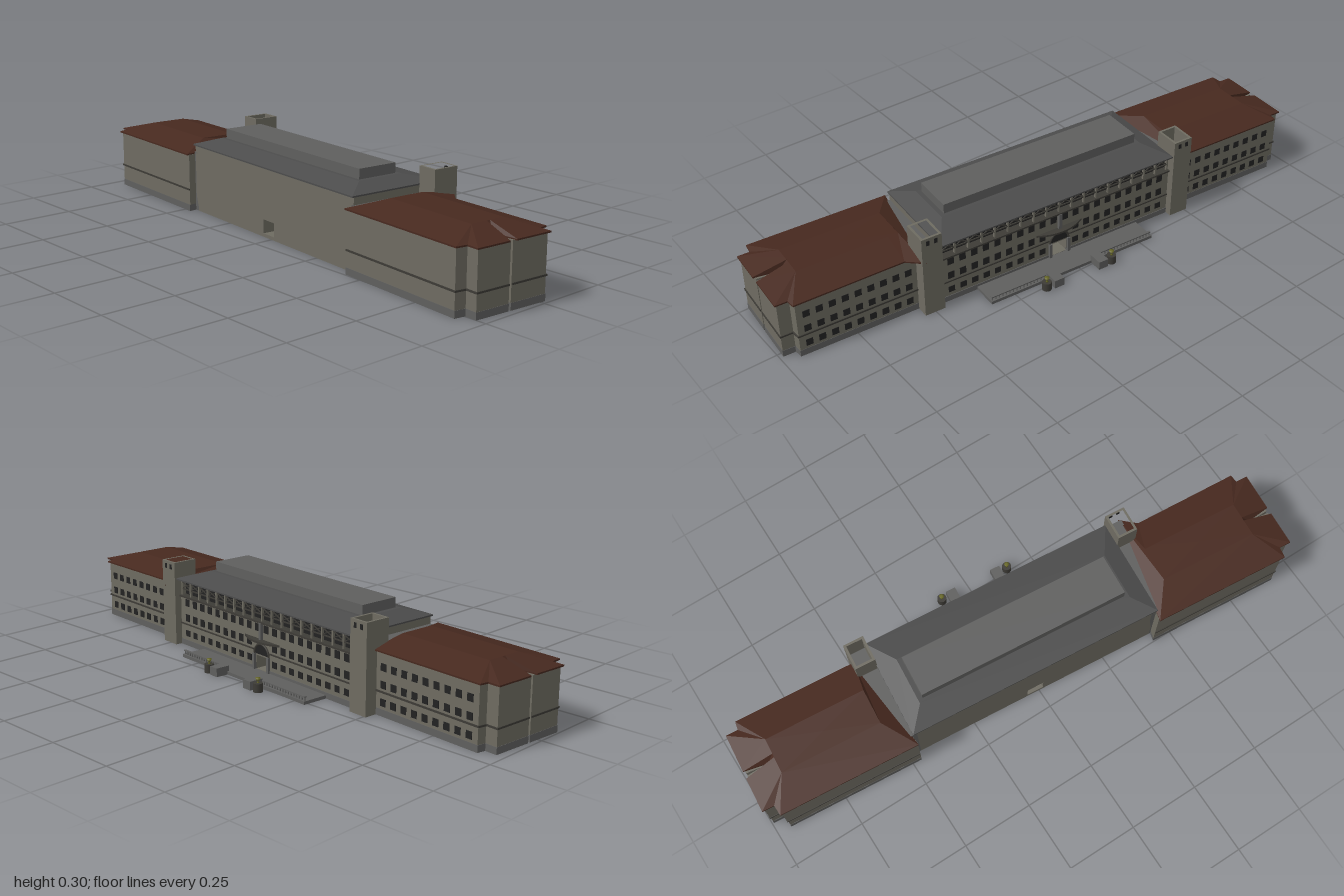
import * as THREE from 'three';

const mat = (color, extra = {}) => new THREE.MeshStandardMaterial({ color, ...extra });
const wall = mat(0x6e6b61);
const stone = mat(0x5f5f5e);
const slate = mat(0x4c4c4c, { flatShading: true, side: THREE.DoubleSide });
const tile = mat(0x47291f, { flatShading: true, side: THREE.DoubleSide });
const dark = mat(0x222222);
const trim = mat(0x3d3b36);
const olive = mat(0x6b6b2a);

export function createModel() {
  const model = new THREE.Group();
  model.name = 'building';
  model.rotation.y = -0.083; // the long axis stands slightly askew

  const add = (name, geometry, material, parent = model) => {
    const mesh = new THREE.Mesh(geometry, material);
    mesh.name = name;
    parent.add(mesh);
    return mesh;
  };
  // Box given by its min and max on each axis
  const box = (name, [x0, x1], [y0, y1], [z0, z1], material, parent) => {
    const mesh = add(name, new THREE.BoxGeometry(x1 - x0, y1 - y0, Math.abs(z1 - z0)), material, parent);
    mesh.position.set((x0 + x1) / 2, (y0 + y1) / 2, (z0 + z1) / 2);
    return mesh;
  };
  const group = (name) => {
    const g = new THREE.Group();
    g.name = name;
    model.add(g);
    return g;
  };
  // Upright prism over a ground plan of [x, z] points
  const prism = (name, plan, y0, y1, material, parent, hole) => {
    const toPath = (pts) => pts.map(([x, z]) => new THREE.Vector2(x, -z));
    const shape = new THREE.Shape(toPath(plan));
    if (hole) shape.holes.push(new THREE.Path(toPath(hole)));
    const geo = new THREE.ExtrudeGeometry(shape, { depth: y1 - y0, bevelEnabled: false });
    geo.rotateX(-Math.PI / 2).translate(0, y0, 0);
    return add(name, geo, material, parent);
  };
  const rect = (x0, x1, z0, z1) => [[x0, z0], [x1, z0], [x1, z1], [x0, z1]];
  // Hipped roof: every eave point rises to the nearest point of a flat top
  const hipRoof = (name, plan, y0, y1, [x0, x1], [z0, z1], material, parent) => {
    const clamp = THREE.MathUtils.clamp;
    const top = plan.map(([x, z]) => [clamp(x, x0, x1), y1, clamp(z, z0, z1)]);
    const low = plan.map(([x, z]) => [x, y0, z]);
    const mid = [(x0 + x1) / 2, y1, (z0 + z1) / 2];
    const v = [];
    plan.forEach((_, i) => {
      const j = (i + 1) % plan.length;
      v.push(...low[i], ...low[j], ...top[j], ...low[i], ...top[j], ...top[i]);
      v.push(...top[i], ...top[j], ...mid);
    });
    const geo = new THREE.BufferGeometry();
    geo.setAttribute('position', new THREE.Float32BufferAttribute(v, 3));
    geo.computeVertexNormals();
    return add(name, geo, material, parent);
  };
  const windowRows = [0.045, 0.102, 0.158];
  const pane = (x, y, z, w, h, parent) =>
    box('window', [x - 0.004, x + 0.0015], [y - h / 2, y + h / 2], [z - w / 2, z + w / 2], dark, parent);

  // End wings with stepped corners and a groove down the end wall
  for (const s of [1, -1]) {
    const wing = group(s > 0 ? 'frontWing' : 'backWing');
    const plan = (o, groove, inner) => [
      [-0.208 - o, 0.452], [-0.208 - o, 0.936 + o], [-0.17 - o, 0.94 + o], [-0.17 - o, 0.982 + o],
      [-0.042 - groove, 0.982 + o], [-0.042, 0.945 - groove * 3], [-0.042 + groove, 0.982 + o],
      [0.099 + o, 0.982 + o], [0.099 + o, 0.94 + o], [0.128 + o, 0.936 + o], ...inner,
    ].map(([x, z]) => [x, z * s]);
    const straight = (o) => [[0.128 + o, 0.515]];
    prism('plinth', plan(0.001, 0.004, straight(0.001)), 0, 0.023, stone, wing);
    prism('wingWalls', plan(0, 0.004, straight(0)), 0.023, 0.206, wall, wing);
    prism('stringCourse', plan(0.003, 0.005, straight(0.003)), 0.076, 0.082, trim, wing);
    const eave = plan(0.007, 0.013, s > 0 ? [[0.13, 0.566], [0.173, 0.512]] : straight(0.008));
    prism('eaves', eave, 0.205, 0.21, tile, wing);
    hipRoof('wingRoof', eave, 0.21, 0.24, [-0.1, 0.025], s > 0 ? [0.53, 0.88] : [-0.88, -0.53], tile, wing);
    for (const y of windowRows) {
      for (let i = 0; i < 9; i++) pane(0.128, y, s * (0.555 + i * 0.0435), 0.023, 0.024, wing);
    }
    // Low link roof between wing and main block
    prism('link', [[-0.18, 0.44 * s], [0.1, 0.44 * s], [0.1, 0.52 * s], [-0.18, 0.462 * s]], 0, 0.213, stone, wing);

    // Hollow tower beside the link
    const tower = group(s > 0 ? 'frontTower' : 'backTower');
    const [a, b] = [0.453 * s, 0.525 * s];
    prism('towerWalls', rect(0.08, 0.172, a, b), 0, 0.3, wall, tower,
      rect(0.088, 0.164, a + 0.008 * s, b - 0.008 * s));
    box('towerFloor', [0.085, 0.167], [0.2, 0.215], [a + 0.005 * s, b - 0.005 * s], stone, tower);
    for (const z of [0.475, 0.503]) pane(0.172, 0.282, z * s, 0.011, 0.017, tower);
  }

  // Main block with a passage through the middle
  const block = group('mainBlock');
  const side = new THREE.Shape([[-0.452, 0], [0.452, 0], [0.452, 0.18], [-0.452, 0.18]].map((p) => new THREE.Vector2(...p)));
  side.holes.push(new THREE.Path([[-0.03, 0.012], [-0.03, 0.06], [0.03, 0.06], [0.03, 0.012]].map((p) => new THREE.Vector2(...p))));
  const body = new THREE.ExtrudeGeometry(side, { depth: 0.327, bevelEnabled: false });
  body.rotateY(Math.PI / 2).translate(-0.18, 0, 0);
  add('mainWalls', body, wall, block);
  box('upperWalls', [-0.18, 0.125], [0.18, 0.24], [-0.452, 0.452], wall, block);
  box('mainPlinth', [0.14, 0.149], [0, 0.02], [-0.452, -0.03], stone, block);
  box('mainPlinth', [0.14, 0.149], [0, 0.02], [0.03, 0.452], stone, block);
  for (const s of [1, -1]) {
    box('mainStringCourse', [0.14, 0.15], [0.076, 0.081], [s * 0.04, s * 0.452], trim, block);
    windowRows.forEach((y, row) => {
      for (let i = 0; i < 10; i++) {
        const z = 0.022 + i * 0.0435;
        if (row < 2 && z < 0.05) continue;
        pane(0.147, y, s * z, 0.023, row === 0 ? 0.022 : 0.026, block);
      }
    });
  }

  // Open gallery of posts, rails and braces under the eaves
  const gallery = group('gallery');
  box('galleryBack', [0.12, 0.127], [0.182, 0.238], [-0.45, 0.45], dark, gallery);
  box('galleryLedge', [0.125, 0.155], [0.176, 0.182], [-0.452, 0.452], trim, gallery);
  for (const y of [0.203, 0.23]) box('rail', [0.143, 0.147], [y, y + 0.004], [-0.45, 0.45], trim, gallery);
  const bays = 18;
  for (let i = 0; i <= bays; i++) {
    const z = -0.445 + (i * 0.89) / bays;
    box('post', [0.14, 0.148], [0.18, 0.24], [z - 0.003, z + 0.003], wall, gallery);
    if (i === bays) continue;
    for (const tilt of [-1, 1]) {
      const brace = add('brace', new THREE.BoxGeometry(0.003, 0.003, 0.052), trim, gallery);
      brace.position.set(0.144, 0.218, z + 0.0247);
      brace.rotation.x = tilt * 0.42;
    }
  }

  // Main roof and the long lantern on top
  const roofPlan = rect(-0.188, 0.165, -0.455, 0.455);
  prism('mainEaves', roofPlan, 0.238, 0.243, slate, block);
  hipRoof('mainRoof', roofPlan, 0.243, 0.266, [-0.11, 0.06], [-0.39, 0.39], slate, block);
  box('roofLantern', [-0.098, 0.047], [0.255, 0.3], [-0.375, 0.375], stone, block);

  // Entrance arch, curved balcony and centre shaft
  const entrance = group('entrance');
  const fan = add('archFanlight', new THREE.CircleGeometry(0.034, 24, 0, Math.PI), dark, entrance);
  fan.position.set(0.149, 0.066, 0);
  fan.rotation.y = Math.PI / 2;
  const arch = add('archMoulding', new THREE.TorusGeometry(0.037, 0.004, 6, 24, Math.PI), trim, entrance);
  arch.position.set(0.149, 0.066, 0);
  arch.rotation.y = Math.PI / 2;
  for (const s of [1, -1]) box('doorPier', [0.145, 0.156], [0.01, 0.066], [s * 0.031, s * 0.041], stone, entrance);
  const curve = [];
  for (let i = 0; i <= 12; i++) {
    const t = i / 6 - 1;
    curve.push([0.147 + 0.026 * (1 - t * t), 0.09 * t]);
  }
  prism('balcony', curve, 0.113, 0.12, trim, entrance);
  box('centreShaft', [0.145, 0.157], [0.12, 0.178], [-0.006, 0.006], stone, entrance);

  // Terrace with balustrades, pedestals and planters
  const terrace = group('terrace');
  box('terraceSlab', [0.14, 0.24], [0, 0.011], [-0.32, 0.32], stone, terrace);
  for (const s of [1, -1]) {
    box('handrail', [0.229, 0.237], [0.022, 0.026], [s * 0.11, s * 0.318], stone, terrace);
    for (let i = 0; i < 16; i++) {
      const post = add('baluster', new THREE.CylinderGeometry(0.002, 0.003, 0.012, 6), stone, terrace);
      post.position.set(0.233, 0.017, s * (0.115 + i * 0.0133));
    }
    const z = s * 0.088;
    box('pedestal', [0.232, 0.284], [0, 0.03], [z - 0.018, z + 0.018], stone, terrace);
    const drum = add('planterDrum', new THREE.CylinderGeometry(0.016, 0.016, 0.03, 20), trim, terrace);
    drum.position.set(0.27, 0.015, s * 0.129);
    const profile = [[0, 0], [0.005, 0], [0.002, 0.003], [0.002, 0.007], [0.006, 0.009], [0.0085, 0.017], [0, 0.016]];
    const planter = add('planter', new THREE.LatheGeometry(profile.map((p) => new THREE.Vector2(...p)), 16), olive, terrace);
    planter.position.set(0.27, 0.03, s * 0.129);
  }
  const outer = new THREE.Group();
  outer.name = 'buildingRoot';
  outer.add(model);
  return outer;
}
